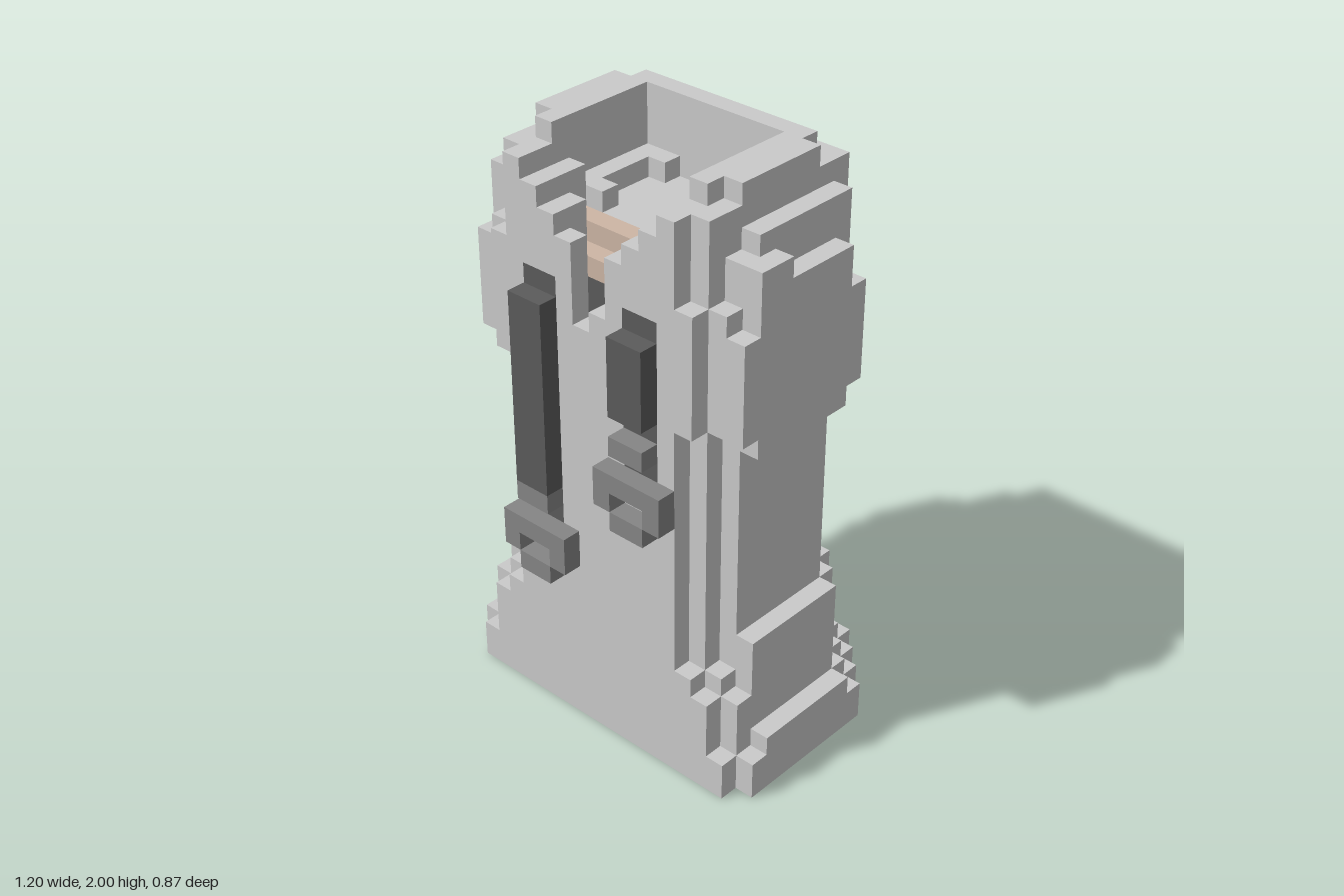
import * as THREE from 'three';

const U = 1 / 15; // edge of one block
const NX = 18, NY = 30, NZ = 13;

export function createModel() {
  const lightGrey = new THREE.MeshStandardMaterial({ name: 'lightGrey', color: 0xcacaca });
  const midGrey = new THREE.MeshStandardMaterial({ name: 'midGrey', color: 0x858585 });
  const darkGrey = new THREE.MeshStandardMaterial({ name: 'darkGrey', color: 0x5b5b5b });
  const tan = new THREE.MeshStandardMaterial({ name: 'tan', color: 0xcdb6a5 });
  const parts = [null,
    ['base', lightGrey], ['robeBody', lightGrey], ['shoulders', lightGrey], ['strapEnds', darkGrey],
    ['straps', darkGrey], ['buckles', midGrey], ['neck', tan], ['collarShadow', darkGrey]];
  const [EMPTY, BASE, BODY, SHOULDERS, STRAP_ENDS, STRAPS, BUCKLES, NECK, SHADOW] = parts.keys();

  // Block grid: x runs -9..9, y 0..30, z 0 (back) to 13 (front)
  const grid = new Uint8Array(NX * NY * NZ);
  const index = (x, y, z) => (y * NZ + z) * NX + x + 9;
  const at = (x, y, z) =>
    x < -9 || x >= 9 || y < 0 || y >= NY || z < 0 || z >= NZ ? 0 : grid[index(x, y, z)];
  const box = (part, x0, x1, y0, y1, z0, z1) => {
    for (let y = y0; y < y1; y++)
      for (let z = z0; z < z1; z++)
        for (let x = x0; x < x1; x++) grid[index(x, y, z)] = part;
  };
  // Boxes mirrored about x = 0, given by half width
  const slab = (part, half, y0, y1, z0, z1) => box(part, -half, half, y0, y1, z0, z1);
  // A layer with stepped corners: [half width, z0, z1] per row
  const layer = (part, y0, y1, rows) => rows.forEach(([h, z0, z1]) => slab(part, h, y0, y1, z0, z1));

  // Stepped base
  layer(BASE, 0, 2, [[6, 0, 1], [7, 1, 2], [8, 2, 3], [9, 3, 11], [8, 11, 12]]);
  layer(BASE, 2, 3, [[6, 1, 2], [7, 2, 3], [8, 3, 4], [9, 4, 10], [8, 10, 11], [7, 11, 12]]);

  // Flared hem and straight body
  layer(BODY, 3, 8, [[6, 2, 3], [7, 3, 4], [8, 4, 10], [6, 10, 11], [5, 11, 12]]);
  layer(BODY, 3, 5, [[8, 10, 11], [7, 11, 12]]);
  layer(BODY, 5, 6, [[7, 10, 11], [6, 11, 12]]);
  layer(BODY, 8, 19, [[5, 2, 3], [6, 3, 4], [7, 4, 10], [6, 10, 11], [5, 11, 12]]);

  // Shoulders and collar, stepping in towards the top
  slab(SHOULDERS, 8, 18, 26, 4, 10);
  slab(SHOULDERS, 8, 26, 27, 8, 10);
  slab(SHOULDERS, 7, 26, 28, 4, 9);
  slab(SHOULDERS, 7, 26, 27, 9, 10);
  slab(SHOULDERS, 6, 27, 30, 4, 9);
  slab(SHOULDERS, 6, 27, 29, 9, 10);
  slab(SHOULDERS, 5, 29, 30, 9, 10);
  slab(SHOULDERS, 5, 19, 25, 2, 3);
  slab(SHOULDERS, 6, 25, 29, 2, 3);
  slab(SHOULDERS, 8, 19, 24, 3, 4);
  slab(SHOULDERS, 7, 24, 28, 3, 4);
  slab(SHOULDERS, 6, 28, 29, 3, 4);
  slab(SHOULDERS, 5, 29, 30, 3, 4);
  slab(SHOULDERS, 8, 19, 24, 10, 11);
  slab(SHOULDERS, 7, 24, 25, 10, 11);
  slab(SHOULDERS, 6, 25, 29, 10, 11);
  slab(SHOULDERS, 6, 19, 25, 11, 12);
  slab(SHOULDERS, 5, 25, 29, 11, 12);

  // Hollow collar with a V opening at the front
  slab(EMPTY, 4, 28, 30, 4, 12);
  slab(EMPTY, 4, 27, 28, 4, 9);
  slab(EMPTY, 3, 27, 28, 9, 12);
  slab(EMPTY, 3, 26, 27, 5, 8);
  slab(EMPTY, 2, 26, 27, 4, 12);
  slab(EMPTY, 3, 26, 27, 9, 10);
  slab(EMPTY, 2, 25, 26, 10, 11);
  slab(EMPTY, 1, 23, 26, 11, 12);
  box(EMPTY, -1, 0, 22, 23, 11, 12);

  // Neck and the dark patch below it
  slab(NECK, 3, 25, 26, 9, 10);
  slab(NECK, 2, 24, 25, 10, 11);
  slab(SHADOW, 1, 22, 24, 10, 11);

  // Two hanging straps, each with a clasp and a ring buckle
  const strap = (x, ringTop, clasp, bottom) => {
    box(STRAP_ENDS, x, x + 2, ringTop, 24, 11, 12);
    box(STRAPS, x, x + 2, bottom, 23, 12, 13);
    box(BUCKLES, x, x + 2, clasp, clasp + 1, 12, 13);
    box(BUCKLES, x - 1, x + 3, ringTop - 2, ringTop, 12, 13);
    box(EMPTY, x, x + 2, ringTop - 2, ringTop - 1, 12, 13);
    box(BUCKLES, x, x + 2, ringTop - 3, ringTop - 2, 12, 13);
  };
  strap(-4, 11, 12, 13);
  strap(2, 16, 17, 19);

  // Emit only the exposed block faces, one mesh per part
  const sides = [];
  for (let axis = 0; axis < 3; axis++) {
    for (const sign of [1, -1]) {
      const n = [0, 0, 0], u = [0, 0, 0], v = [0, 0, 0];
      n[axis] = sign;
      u[(axis + 1) % 3] = 1;
      v[(axis + 2) % 3] = 1;
      sides.push(sign > 0 ? [n, u, v] : [n, v, u]);
    }
  }
  const positions = parts.map(() => []);
  const normals = parts.map(() => []);
  const corners = [[0, 0], [1, 0], [1, 1], [0, 0], [1, 1], [0, 1]];
  for (let y = 0; y < NY; y++)
    for (let z = 0; z < NZ; z++)
      for (let x = -9; x < 9; x++) {
        const part = at(x, y, z);
        if (!part) continue;
        const cell = [x, y, z - NZ / 2];
        for (const [n, u, v] of sides) {
          if (at(x + n[0], y + n[1], z + n[2])) continue;
          for (const [a, b] of corners) {
            positions[part].push(...cell.map((c, i) => (c + Math.max(n[i], 0) + a * u[i] + b * v[i]) * U));
            normals[part].push(...n);
          }
        }
      }

  const group = new THREE.Group();
  group.name = 'robedFigure';
  parts.forEach((part, i) => {
    if (!part) return;
    const geometry = new THREE.BufferGeometry();
    geometry.setAttribute('position', new THREE.Float32BufferAttribute(positions[i], 3));
    geometry.setAttribute('normal', new THREE.Float32BufferAttribute(normals[i], 3));
    const mesh = new THREE.Mesh(geometry, part[1]);
    mesh.name = part[0];
    group.add(mesh);
  });
  return group;
}
